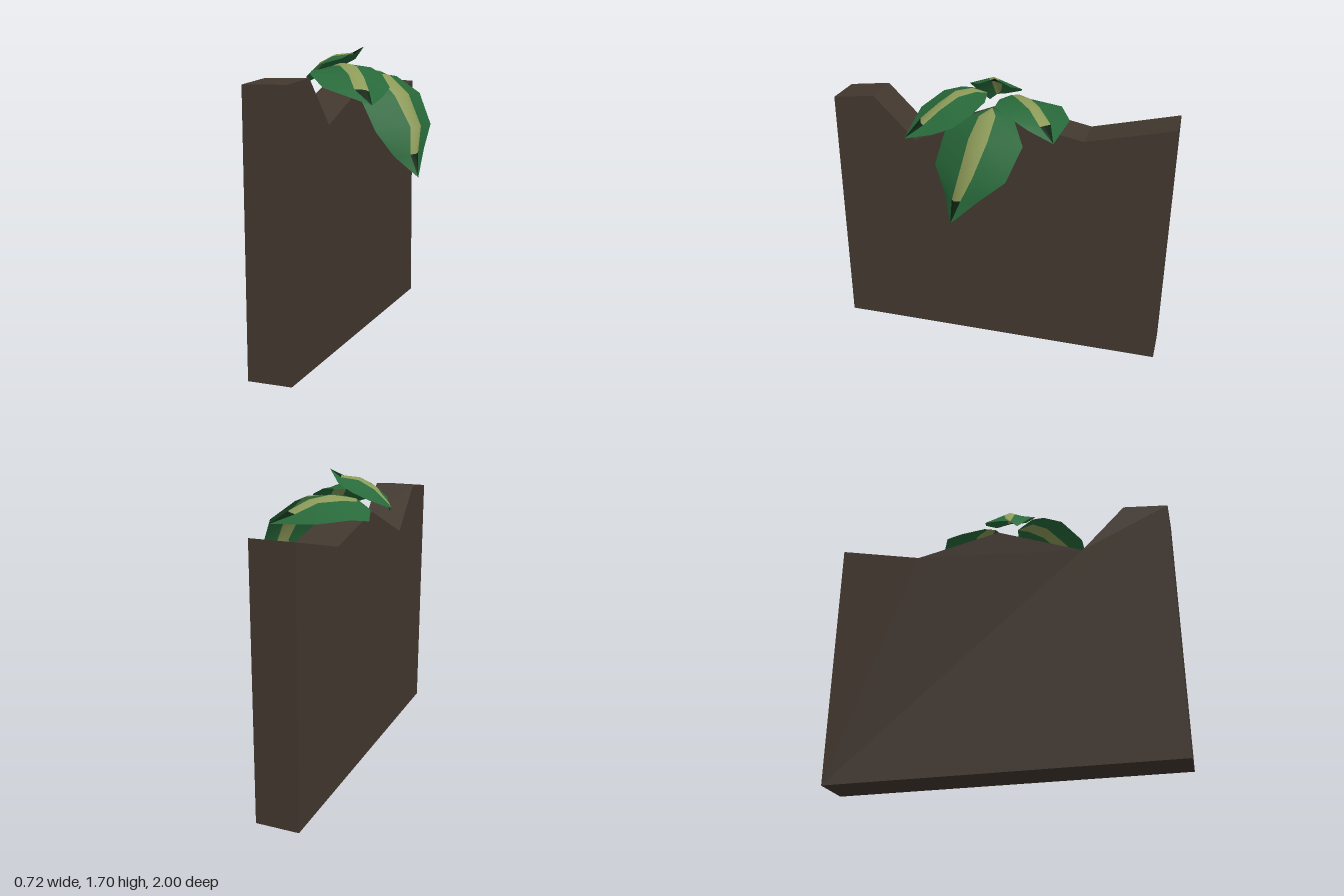
import * as THREE from 'three';

const mat = (name, color, side = THREE.FrontSide) => {
  const m = new THREE.MeshStandardMaterial({ color, side });
  m.name = name;
  return m;
};

// Each leaf: root, tip, and four cross-sections of [edge, midrib, edge]
const LEAVES = {
  hangingLeaf: {
    root: [0.03, 1.55, 0.01], tip: [0.36, 0.97, 0.16],
    rows: [
      [[0.13, 1.53, -0.14], [0.12, 1.54, 0.01], [0.05, 1.47, 0.2]],
      [[0.25, 1.43, -0.22], [0.24, 1.43, 0.04], [0.07, 1.39, 0.28]],
      [[0.34, 1.25, -0.15], [0.335, 1.25, 0.08], [0.16, 1.23, 0.31]],
      [[0.345, 1.12, 0.0], [0.34, 1.1, 0.14], [0.24, 1.09, 0.23]],
    ],
  },
  backLeaf: {
    root: [-0.2, 1.55, -0.04], tip: [0.18, 1.435, -0.37],
    rows: [
      [[-0.3, 1.5, -0.08], [-0.19, 1.56, -0.09], [-0.08, 1.56, 0]],
      [[-0.34, 1.46, -0.21], [-0.1, 1.58, -0.15], [0.03, 1.55, 0]],
      [[-0.28, 1.48, -0.32], [0, 1.56, -0.22], [0.1, 1.53, -0.1]],
      [[-0.12, 1.46, -0.4], [0.1, 1.5, -0.3], [0.14, 1.48, -0.22]],
    ],
  },
  frontLeaf: {
    root: [-0.12, 1.58, 0.08], tip: [0.2, 1.38, 0.475],
    rows: [
      [[0.04, 1.58, 0.05], [-0.1, 1.605, 0.17], [-0.24, 1.56, 0.2]],
      [[0.12, 1.54, 0.09], [-0.02, 1.6, 0.25], [-0.24, 1.56, 0.27]],
      [[0.2, 1.47, 0.19], [0.06, 1.54, 0.32], [-0.2, 1.54, 0.37]],
      [[0.2, 1.42, 0.31], [0.13, 1.46, 0.4], [-0.08, 1.47, 0.47]],
    ],
  },
  topLeaf: {
    root: [-0.36, 1.49, 0.09], tip: [-0.02, 1.7, 0.01],
    rows: [
      [[-0.36, 1.5, 0.03], [-0.35, 1.52, 0.08], [-0.34, 1.46, 0.13]],
      [[-0.29, 1.55, -0.08], [-0.27, 1.61, 0.07], [-0.3, 1.53, 0.2]],
      [[-0.2, 1.59, -0.1], [-0.18, 1.655, 0.06], [-0.2, 1.6, 0.21]],
      [[-0.1, 1.63, -0.06], [-0.08, 1.665, 0.03], [-0.11, 1.63, 0.13]],
    ],
  },
};

// Fraction of each half leaf covered by the pale midrib stripe
const STRIPE = [0.3, 0.24, 0.19, 0.25];

// Curved leaf sheet with green blade (0), pale stripe (1) and dark tip (2)
function leafGeometry({ root, tip, rows }) {
  const v = (p) => new THREE.Vector3(...p);
  const sections = [
    Array.from({ length: 5 }, () => v(root)),
    ...rows.map(([a, c, b], i) => [
      v(a), v(c).lerp(v(a), STRIPE[i]), v(c), v(c).lerp(v(b), STRIPE[i]), v(b),
    ]),
    Array.from({ length: 5 }, () => v(tip)),
  ];
  const last = sections.length - 2;
  const faces = [[], [], []];
  for (let i = 0; i <= last; i++) {
    for (let j = 0; j < 4; j++) {
      const middle = j === 1 || j === 2;
      const list = faces[middle ? (i === last ? 2 : 1) : 0];
      const p = i * 5 + j, q = p + 5;
      if (i > 0) list.push(p, p + 1, q);
      if (i < last) list.push(p + 1, q + 1, q);
    }
  }
  const g = new THREE.BufferGeometry().setFromPoints(sections.flat());
  g.setIndex(faces.flat());
  let start = 0;
  faces.forEach((list, k) => {
    g.addGroup(start, list.length, k);
    start += list.length;
  });
  g.computeVertexNormals();
  return g;
}

export function createModel() {
  const model = new THREE.Group();
  model.name = 'wallWithPlant';
  const bark = mat('darkBrown', 0x42382f);
  const leafMats = [
    mat('leafGreen', 0x28693a, THREE.DoubleSide),
    mat('paleStripe', 0x8c9a58, THREE.DoubleSide),
    mat('darkTip', 0x0c2412, THREE.DoubleSide),
  ];

  // Broken-topped wall slab: outline in (z, y), extruded along x
  const outline = [
    [1, 0], [1, 1.495], [0.75, 1.525], [0.5, 1.275],
    [0, 1.475], [-0.5, 1.375], [-1, 1.495], [-1, 0],
  ];
  const shape = new THREE.Shape(outline.map(([z, y]) => new THREE.Vector2(-z, y)));
  const slab = new THREE.ExtrudeGeometry(shape, { depth: 0.245, bevelEnabled: false });
  slab.rotateY(Math.PI / 2).translate(-0.28, 0, 0);
  const wall = new THREE.Mesh(slab, bark);
  wall.name = 'wall';
  model.add(wall);

  // Plant draped over the wall
  const plant = new THREE.Group();
  plant.name = 'plant';
  for (const [name, data] of Object.entries(LEAVES)) {
    const leaf = new THREE.Mesh(leafGeometry(data), leafMats);
    leaf.name = name;
    plant.add(leaf);
  }
  model.add(plant);
  return model;
}
